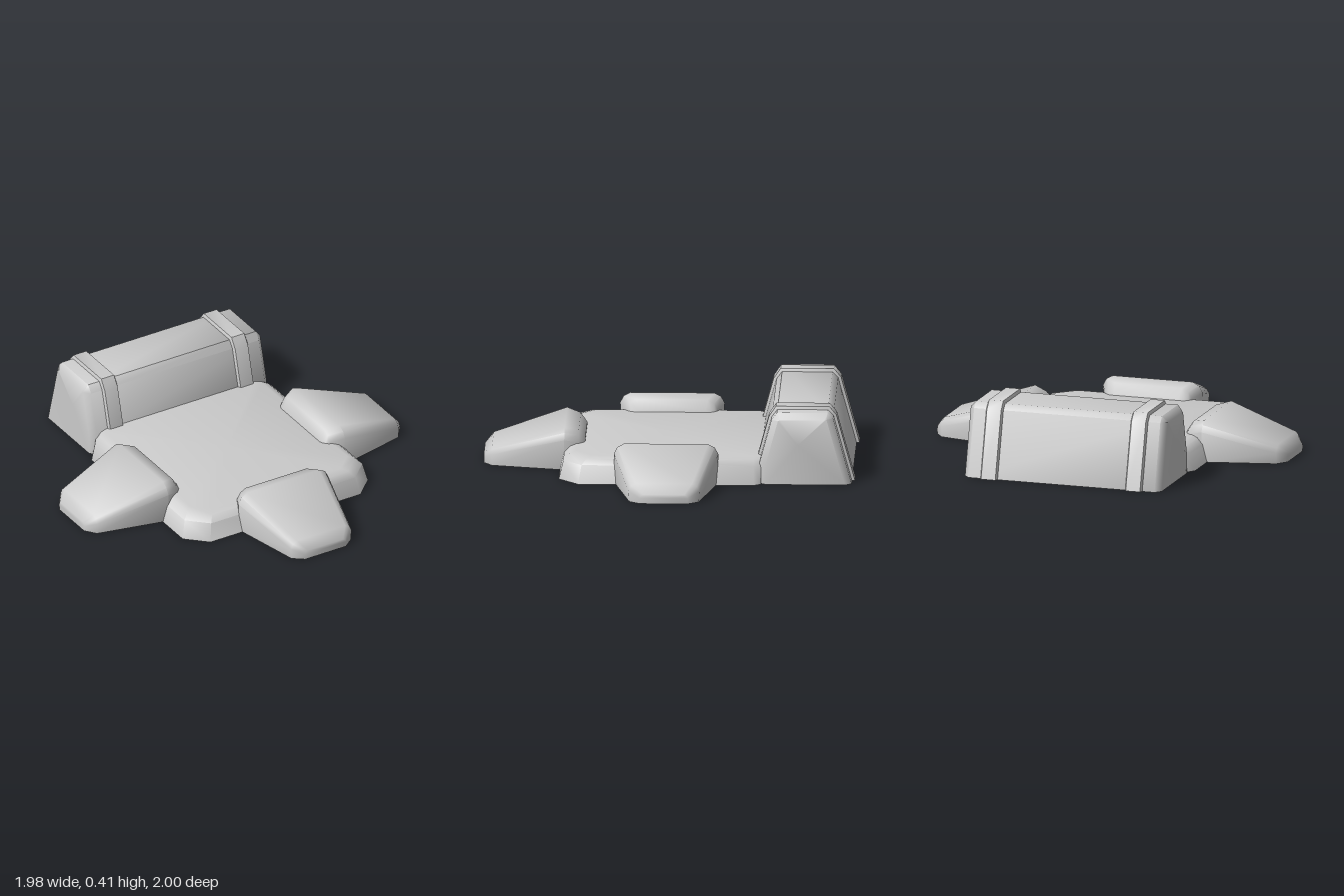
import * as THREE from 'three';
import { toCreasedNormals } from 'three/addons/utils/BufferGeometryUtils.js';

const material = new THREE.MeshStandardMaterial({ color: 0xcccccc, side: THREE.DoubleSide });

// Skin a row of cross-sections (arrays of [x, y, z]); sections may be open at the ground.
function loft(name, rings, { closed = false, startCap = true, endCap = true } = {}) {
  const pos = [];
  const tri = (...pts) => pts.forEach((p) => pos.push(...p));
  const n = rings[0].length;
  for (let i = 0; i < rings.length - 1; i++) {
    for (let j = 0; j < (closed ? n : n - 1); j++) {
      const k = (j + 1) % n;
      const [a, b, c, d] = [rings[i][j], rings[i][k], rings[i + 1][k], rings[i + 1][j]];
      tri(a, d, c);
      tri(a, c, b);
    }
  }
  const cap = (ring, flip) => {
    const mid = [0, 1, 2].map((m) => ring.reduce((s, p) => s + p[m], 0) / n);
    ring.forEach((p, j) => {
      const q = ring[(j + 1) % n];
      flip ? tri(mid, q, p) : tri(mid, p, q);
    });
  };
  if (startCap) cap(rings[0], false);
  if (endCap) cap(rings[rings.length - 1], true);
  const geo = new THREE.BufferGeometry();
  geo.setAttribute('position', new THREE.Float32BufferAttribute(pos, 3));
  const mesh = new THREE.Mesh(toCreasedNormals(geo, 0.9), material);
  mesh.name = name;
  return mesh;
}

// Low octagonal slab with a rounded top edge; its back wall stays upright
function body() {
  const plan = [[0.47, 0.585], [-0.47, 0.585], [-0.58, 0.48], [-0.58, -0.46],
    [-0.55, -0.5], [0.55, -0.5], [0.58, -0.46], [0.58, 0.48]];
  const levels = [[0, 1], [0.1, 0.96], [0.13, 0.905], [0.14, 0.85]];
  const rings = levels.map(([y, s]) => plan.map(([x, z]) => [x * s, y, z > 0 ? z * s : z]));
  return loft('body', rings, { closed: true, startCap: false });
}

// Tapering limb pointing along +z, from its blunt inner end to its low tip
function limb(name, inner) {
  const stations = [[0, 0.235, 0.15], [0.035, 0.245, 0.2], [0.11, 0.28, 0.22],
    [0.5, 0.19, 0.1], [0.545, 0.13, 0.05]];
  const rings = stations.map(([t, w, h]) => {
    const r = Math.min(0.055, h * 0.4);
    const half = [[w * 0.98, 0], [w, h - r], [w - r * 0.35, h - r * 0.35], [w - r, h]];
    return [
      ...half.map(([x, y]) => [-x, y, inner + t]),
      ...half.reverse().map(([x, y]) => [x, y, inner + t]),
    ];
  });
  return loft(name, rings);
}

// Trapezoid profile of the rear bar, front to back, grown outward by g
function barProfile(g) {
  return [[-0.49 + g, 0], [-0.49 + g, 0.11], [-0.555 + g, 0.35], [-0.585 + g * 0.5, 0.39 + g],
    [-0.855 - g * 0.5, 0.39 + g], [-0.885 - g, 0.36], [-0.984 - g, 0]];
}

function bar(name, sections) {
  return loft(name, sections.map(([x, g]) => barProfile(g).map(([z, y]) => [x, y, z])));
}

export function createModel() {
  const group = new THREE.Group();
  group.add(body());

  // Limbs: two at the sides, one at the front
  const front = limb('frontLimb', 0.452);
  const left = limb('leftLimb', 0.443);
  const right = limb('rightLimb', 0.443);
  left.rotation.y = Math.PI / 2;
  right.rotation.y = -Math.PI / 2;
  left.position.z = right.position.z = 0.008;
  group.add(front, left, right);

  // Rear bar with bevelled ends and two raised bands
  group.add(bar('rearBar', [[-0.555, -0.035], [-0.525, 0], [0.525, 0], [0.555, -0.035]]));
  for (const [name, x] of [['leftBand', 0.408], ['rightBand', -0.408]]) {
    group.add(bar(name, [[x - 0.048, 0], [x - 0.04, 0.016], [x + 0.04, 0.016], [x + 0.048, 0]]));
  }
  return group;
}
